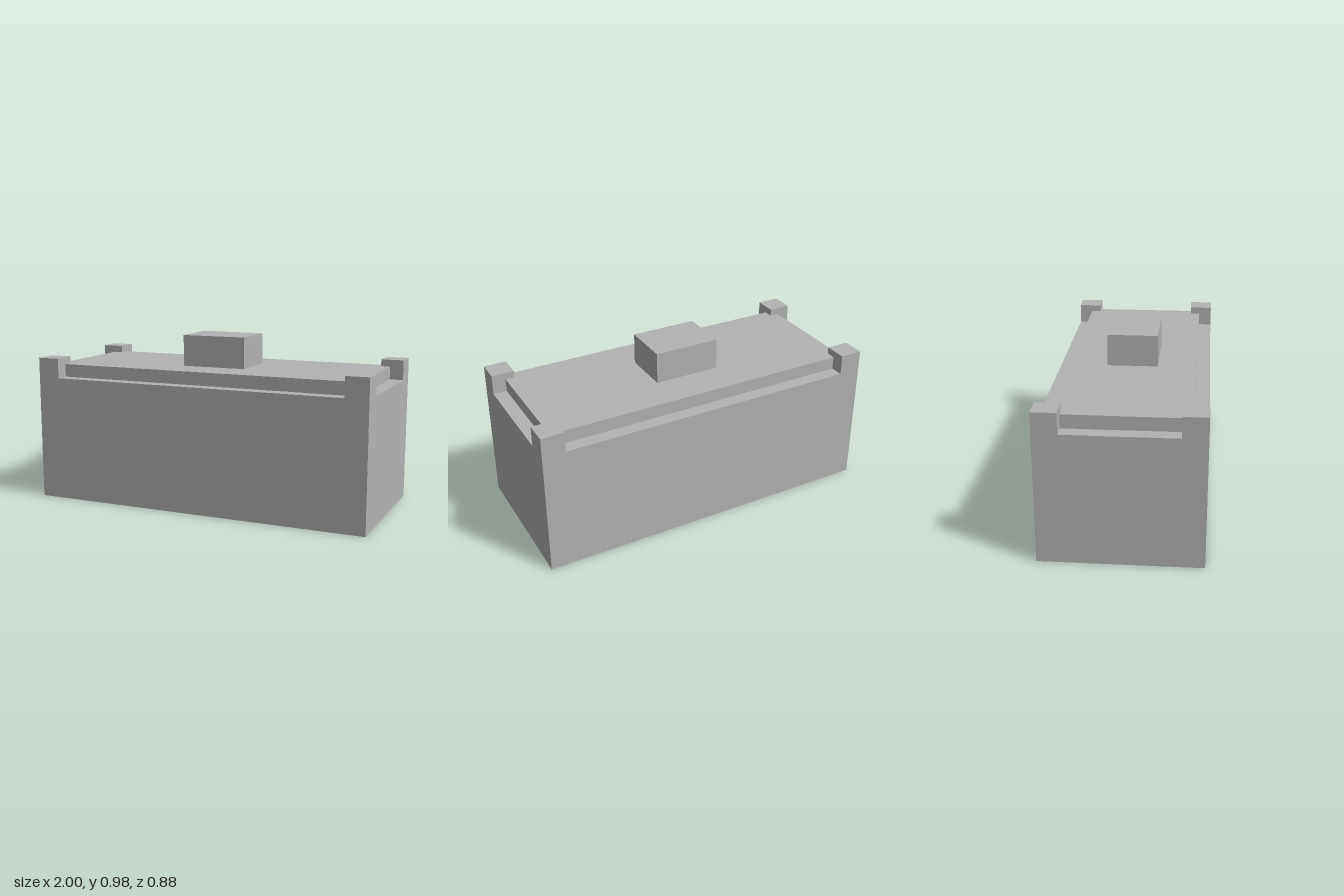
import * as THREE from 'three';

// Box standing on y0, omitting the listed faces (0 +x, 1 -x, 2 top, 3 bottom, 4 +z, 5 -z)
function openBox(w, h, d, x, y0, z, omit) {
  const g = new THREE.BoxGeometry(w, h, d);
  const index = Array.from(g.index.array).filter((_, i) => !omit.includes(Math.floor(i / 6)));
  g.setIndex(index);
  g.clearGroups();
  return g.translate(x, y0 + h / 2, z);
}

export function createModel() {
  const group = new THREE.Group();
  const grey = new THREE.MeshStandardMaterial({ color: 0xb3b3b3, side: THREE.DoubleSide });
  grey.name = 'concrete grey';
  const add = (name, geometry) => {
    const mesh = new THREE.Mesh(geometry, grey);
    mesh.name = name;
    group.add(mesh);
  };

  const X = 1, Z = 0.438;             // outer half sizes
  const PX = 0.869, PZ = 0.305;       // inner faces of the corner posts
  const DX = 0.922, DZ = 0.361;       // raised roof deck half sizes
  const LEDGE = 0.725, DECK = 0.8, POST = 0.84, TOP = 0.98;

  // Hollow walls, open underneath
  add('walls', openBox(2 * X, LEDGE, 2 * Z, 0, 0, 0, [2, 3]));

  // Corner posts rising above the roof
  for (const sx of [-1, 1]) for (const sz of [-1, 1]) {
    add('cornerPost', openBox(X - PX, POST - LEDGE, Z - PZ,
      sx * (X + PX) / 2, LEDGE, sz * (Z + PZ) / 2, [3]));
  }

  // Ledges between posts and the upright edges of the deck
  for (const s of [-1, 1]) {
    const longLedge = new THREE.PlaneGeometry(2 * PX, Z - DZ).rotateX(-Math.PI / 2);
    add('longLedge', longLedge.translate(0, LEDGE, s * (Z + DZ) / 2));
    const sideLedge = new THREE.PlaneGeometry(X - DX, 2 * PZ).rotateX(-Math.PI / 2);
    add('sideLedge', sideLedge.translate(s * (X + DX) / 2, LEDGE, 0));

    const longEdge = new THREE.PlaneGeometry(2 * PX, DECK - LEDGE).rotateY(s > 0 ? 0 : Math.PI);
    add('longDeckEdge', longEdge.translate(0, (DECK + LEDGE) / 2, s * DZ));
    const sideEdge = new THREE.PlaneGeometry(2 * PZ, DECK - LEDGE).rotateY(s * Math.PI / 2);
    add('sideDeckEdge', sideEdge.translate(s * DX, (DECK + LEDGE) / 2, 0));
  }

  // Roof deck, notched around the posts
  const outline = [
    [PX, DZ], [PX, PZ], [DX, PZ], [DX, -PZ], [PX, -PZ], [PX, -DZ],
    [-PX, -DZ], [-PX, -PZ], [-DX, -PZ], [-DX, PZ], [-PX, PZ], [-PX, DZ],
  ].map(([x, z]) => new THREE.Vector2(x, z));
  add('roofDeck', new THREE.ShapeGeometry(new THREE.Shape(outline))
    .rotateX(-Math.PI / 2).translate(0, DECK, 0));

  // Roof block
  add('roofBlock', openBox(0.382, TOP - DECK, 0.284, -0.002, DECK, 0, [3]));

  return group;
}
